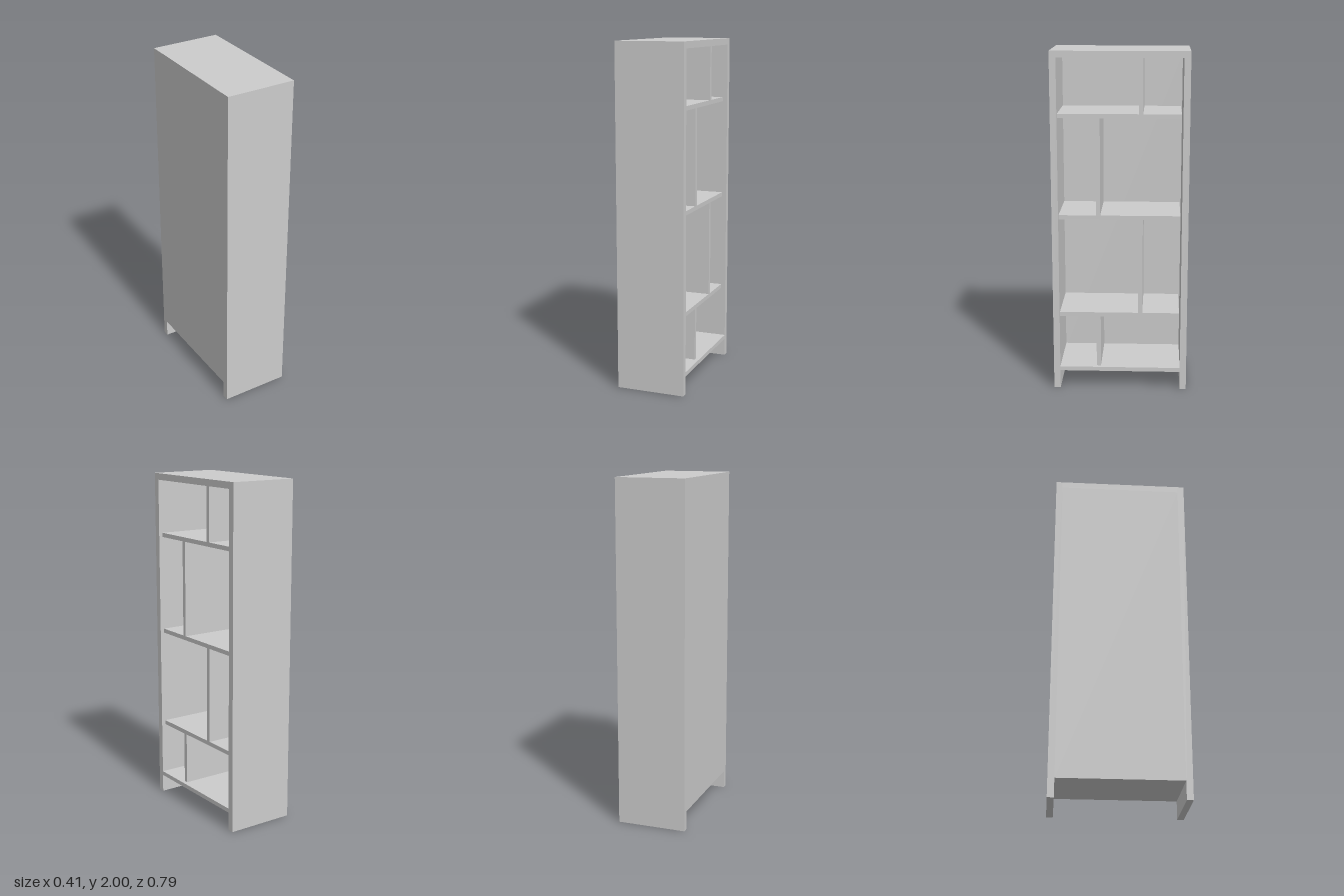
import * as THREE from 'three';

const material = new THREE.MeshStandardMaterial({ color: 0xcccccc });

// Box given by its [min, max] extents on each axis
function board(name, [x0, x1], [y0, y1], [z0, z1]) {
  const mesh = new THREE.Mesh(new THREE.BoxGeometry(x1 - x0, y1 - y0, z1 - z0), material);
  mesh.position.set((x0 + x1) / 2, (y0 + y1) / 2, (z0 + z1) / 2);
  mesh.name = name;
  return mesh;
}

export function createModel() {
  const group = new THREE.Group();
  group.name = 'bookcase';

  const X = 0.203, Z = 0.394, H = 2;   // half depth, half width, height
  const T = 0.038;                     // side and top thickness
  const B = 0.025;                     // shelf, divider and back thickness
  const inner = Z - T;
  const floorY = 0.108;
  const back = -X + B;
  const shelfX = [back, X - 0.024];    // shelves sit behind the open edge

  // Side panels run down to the ground as feet
  group.add(board('leftSide', [-X, X], [0, H], [inner, Z]));
  group.add(board('rightSide', [-X, X], [0, H], [-Z, -inner]));

  // Carcass: top, bottom and closed back; the open face is +x
  group.add(board('top', [-X, X], [H - T, H], [-inner, inner]));
  group.add(board('bottom', [back, X], [floorY, floorY + B], [-inner, inner]));
  group.add(board('back', [-X, back], [floorY, H - T], [-inner, inner]));

  // Shelves stop just short of the right side
  const shelfTops = [0.469, 1.059, 1.647];
  for (const y of shelfTops) {
    group.add(board('shelf', shelfX, [y - B, y], [-inner + 0.008, inner]));
  }

  // Dividers alternate between two positions, one per bay
  const bays = [floorY + B, ...shelfTops];
  const ceilings = [...shelfTops.map((y) => y - B), H - T];
  bays.forEach((y, i) => {
    const z = i % 2 ? -0.119 : 0.127;
    group.add(board('divider', shelfX, [y, ceilings[i]], [z - B / 2, z + B / 2]));
  });

  return group;
}
